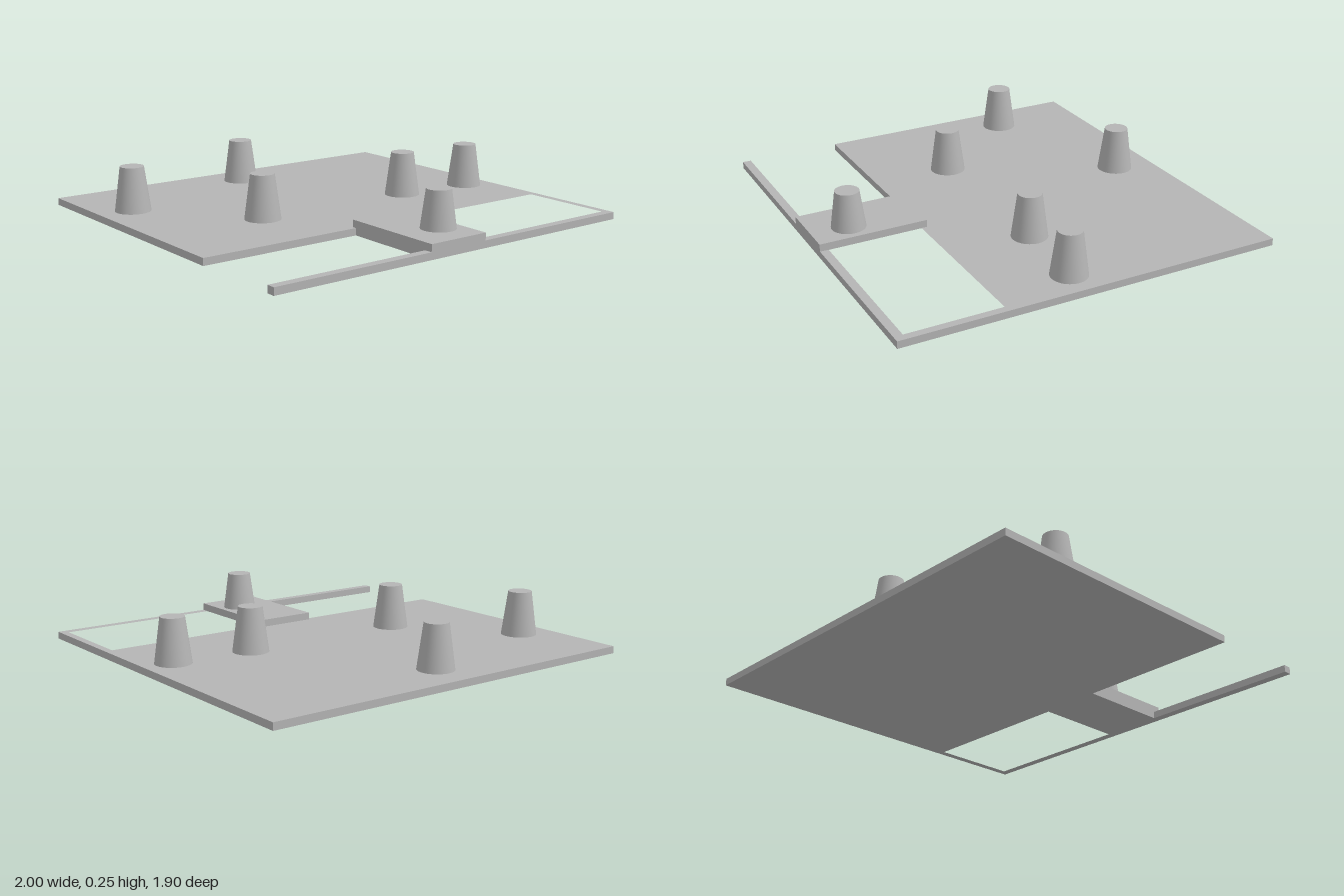
import * as THREE from 'three';

export function createModel() {
  const model = new THREE.Group();
  const grey = new THREE.MeshStandardMaterial({ color: 0xb4b4b4 });
  grey.name = 'grey';

  const add = (name, geometry, x = 0, y = 0, z = 0) => {
    const mesh = new THREE.Mesh(geometry, grey);
    mesh.name = name;
    mesh.position.set(x, y, z);
    model.add(mesh);
  };

  // Base slab: main field, walkway and thin rim, drawn as [x, z]
  const toPoints = (list) => list.map(([x, z]) => new THREE.Vector2(x, -z));
  const outline = new THREE.Shape(toPoints([
    [-1, -0.953], [1, -0.953], [1, 0.95], [-1, 0.95],
    [-1, 0.908], [-0.18, 0.908], [-0.18, 0.433], [-1, 0.433],
  ]));
  outline.holes.push(new THREE.Path(toPoints([
    [0.14, 0.442], [0.963, 0.442], [0.963, 0.908], [0.14, 0.908],
  ])));
  const base = new THREE.ExtrudeGeometry(outline, { depth: 0.035, bevelEnabled: false });
  base.rotateX(-Math.PI / 2);
  add('basePlate', base);

  // Raised block on the walkway
  add('raisedBlock', new THREE.BoxGeometry(0.32, 0.037, 0.538), -0.02, 0.0525, 0.681);

  // Tapered pegs; the front one is partly sunk into the raised block
  const peg = new THREE.CylinderGeometry(0.058, 0.088, 0.22, 48);
  [[-0.03, -0.75], [-0.825, -0.49], [-0.42, 0.03], [0.445, 0.03], [0.85, 0.06], [0.027, 0.763]]
    .forEach(([x, z], i) => add(`peg${i + 1}`, peg, x, 0.145, z));

  return model;
}
